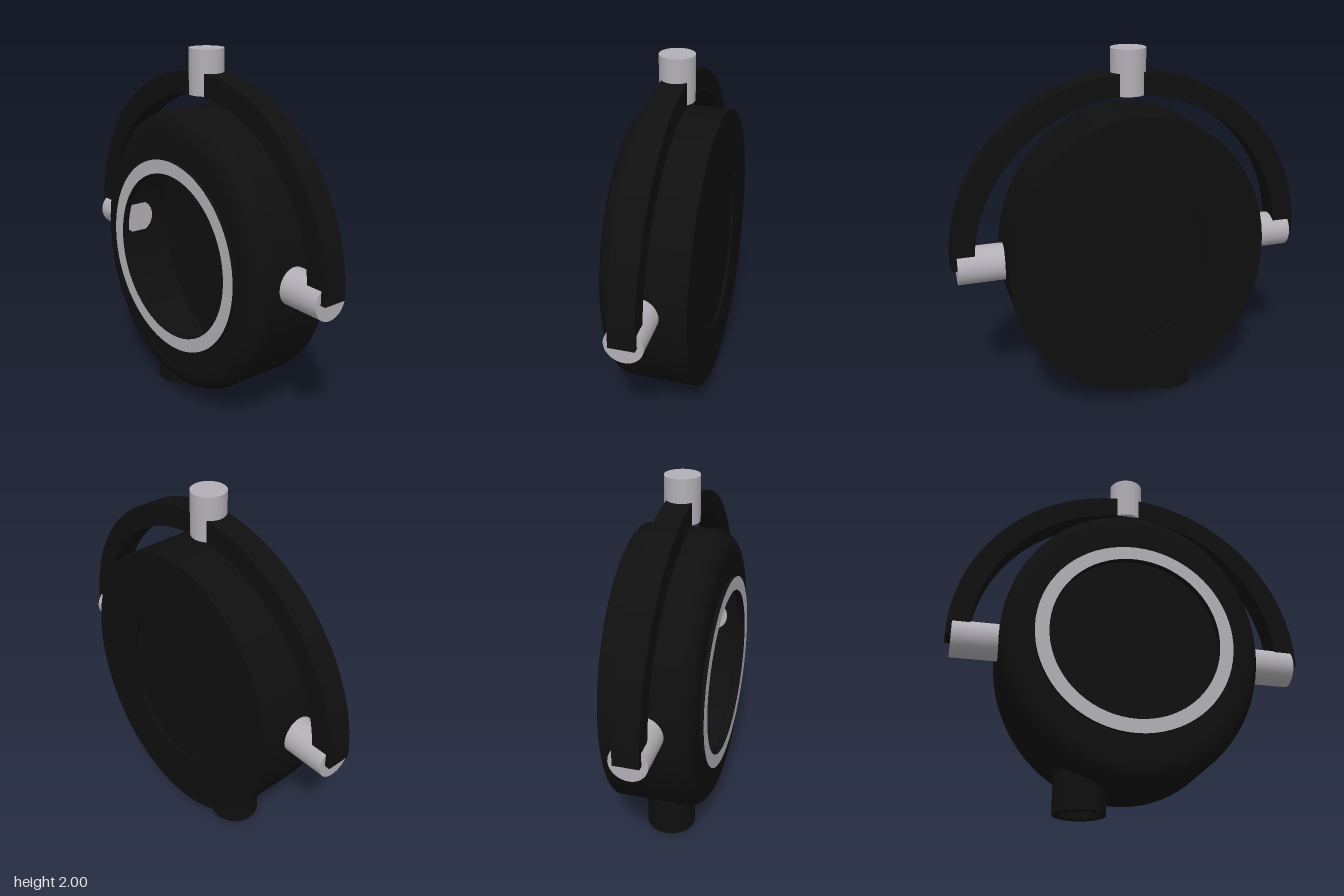
import * as THREE from 'three';
import { toCreasedNormals, mergeGeometries } from 'three/addons/utils/BufferGeometryUtils.js';

const CY = 0.9; // height of the case centre
const CX = 0.008; // centre plane of the fittings

const black = new THREE.MeshStandardMaterial({ color: 0x0f0f0f });
black.name = 'black';
const silver = new THREE.MeshStandardMaterial({ color: 0xb2b0b6 });
silver.name = 'silver';

// Smooth skin through elliptical loops [x, half height, half depth]
function loft(rings, n = 72) {
  const pos = [], idx = [];
  for (const [x, ry, rz] of rings) {
    for (let j = 0; j < n; j++) {
      const t = (j / n) * Math.PI * 2;
      pos.push(x, ry * Math.cos(t), rz * Math.sin(t));
    }
  }
  for (let i = 0; i < rings.length - 1; i++) {
    for (let j = 0; j < n; j++) {
      const k = (j + 1) % n;
      const a = i * n + j, b = (i + 1) * n + j, c = (i + 1) * n + k, d = i * n + k;
      idx.push(a, b, d, b, c, d);
    }
  }
  const g = new THREE.BufferGeometry();
  g.setAttribute('position', new THREE.Float32BufferAttribute(pos, 3));
  g.setIndex(idx);
  g.computeVertexNormals();
  return g;
}

// Quarter-round between the side wall and the face at x
function corner(x, r, ry, rz, steps = 8) {
  const out = [];
  for (let i = 0; i <= steps; i++) {
    const a = (i / steps) * Math.PI / 2;
    const inset = r * (1 - Math.cos(a));
    out.push([x + r * (1 - Math.sin(a)), ry - inset, rz - inset]);
  }
  return out;
}

export function createModel() {
  const model = new THREE.Group();
  const add = (name, geometry, material, x = 0, y = 0, z = 0) => {
    const mesh = new THREE.Mesh(geometry, material);
    mesh.name = name;
    mesh.position.set(x, y, z);
    model.add(mesh);
    return mesh;
  };

  // Hollow oval case: each section is smooth, with sharp edges between sections
  const outer = corner(-0.23, 0.11, 0.79, 0.705);
  const inner = corner(-0.21, 0.09, 0.77, 0.685).reverse();
  const sections = [
    [[0.235, 0, 0], [0.235, 0.467, 0.365]], // recessed back panel
    [[0.235, 0.467, 0.365], [0.25, 0.467, 0.365]],
    [[0.25, 0.467, 0.365], [0.25, 0.79, 0.705]],
    [[0.25, 0.79, 0.705], ...outer],
    [[-0.23, 0.68, 0.595], [-0.23, 0.535, 0.535]],
    [[-0.23, 0.535, 0.535], [-0.248, 0.535, 0.535]], // bezel rim
    [[-0.248, 0.535, 0.535], [-0.248, 0.46, 0.46]],
    [[-0.248, 0.46, 0.46], [-0.21, 0.46, 0.46]], // opening
    [[-0.21, 0.46, 0.46], [-0.21, 0.68, 0.595]],
    [...inner, [0.215, 0.77, 0.685]], // cavity wall
    [[0.215, 0.77, 0.685], [0.215, 0, 0]], // cavity floor
  ];
  add('case', mergeGeometries(sections.map((s) => loft(s))), black, 0, CY, 0);

  // Bright face of the bezel
  add('bezelFace', loft([[-0.25, 0.535, 0.535], [-0.25, 0.46, 0.46]]), silver, 0, CY, 0);

  // Half-ring handle
  const arch = new THREE.Shape();
  arch.absarc(0, 0, 0.98, 0, Math.PI, false);
  arch.absarc(0, 0, 0.86, Math.PI, 0, true);
  const archGeometry = new THREE.ExtrudeGeometry(arch, { depth: 0.135, bevelEnabled: false, curveSegments: 40 });
  archGeometry.translate(0, 0, -0.0675);
  archGeometry.rotateY(Math.PI / 2);
  add('handle', toCreasedNormals(archGeometry, 0.5), black, CX, CY, 0);

  // Side pivots
  for (const side of [1, -1]) {
    const pivot = new THREE.CylinderGeometry(0.1, 0.1, 0.27, 40);
    pivot.rotateX(Math.PI / 2);
    add(side > 0 ? 'frontPivot' : 'rearPivot', pivot, silver, CX, CY, side * 0.815);
  }

  // Peg on top of the handle
  add('topPeg', new THREE.CylinderGeometry(0.093, 0.093, 0.24, 40), silver, CX, 1.88, 0);

  // Short stem underneath with a recessed end
  const profile = [[0, 0.04], [0.1, 0.04], [0.1, 0], [0.137, 0], [0.137, 0.21], [0, 0.21]]
    .map(([r, y]) => new THREE.Vector2(r, y));
  add('stem', toCreasedNormals(new THREE.LatheGeometry(profile, 40), 0.5), black, CX, 0, -0.24);

  return model;
}
